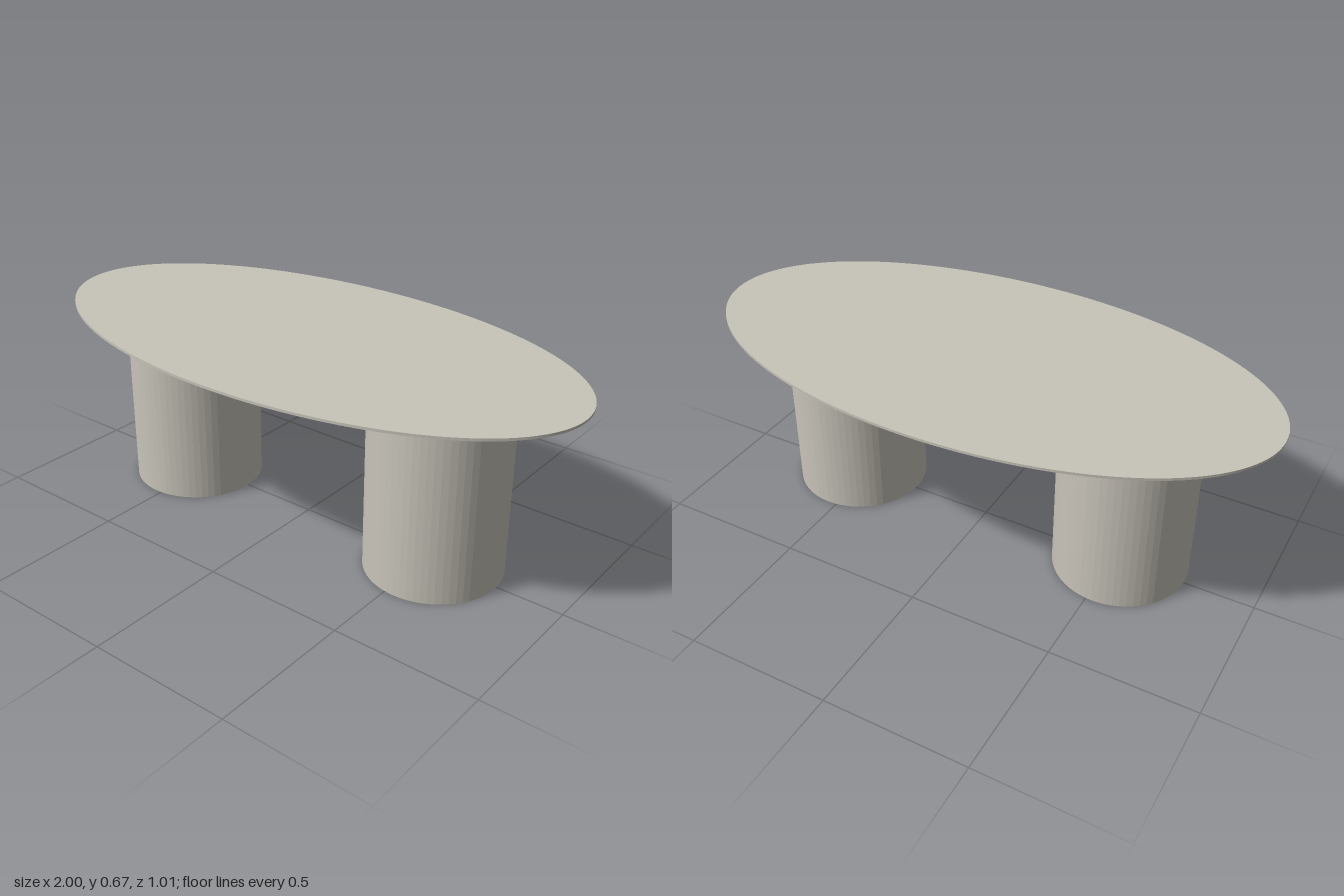
import * as THREE from 'three';
import { toCreasedNormals } from 'three/addons/utils/BufferGeometryUtils.js';

const HALF_LENGTH = 1, HALF_DEPTH = 0.506;
const TOP_Y = 0.67, RIM_Y = 0.661, UNDER_Y = 0.628, BEVEL = 0.08;

// Oval slab: a lathe whose rings are narrowed in z by a constant amount,
// so the bevel keeps the same width all the way round.
function ovalTop() {
  const profile = [
    [0, UNDER_Y], [HALF_LENGTH - BEVEL, UNDER_Y],
    [HALF_LENGTH, RIM_Y], [HALF_LENGTH, TOP_Y], [0, TOP_Y],
  ].map(([r, y]) => new THREE.Vector2(r, y));
  const geometry = new THREE.LatheGeometry(profile, 128);
  const p = geometry.attributes.position;
  for (let i = 0; i < p.count; i++) {
    const r = Math.hypot(p.getX(i), p.getZ(i));
    if (r > 0.01) p.setZ(i, p.getZ(i) / r * (r - HALF_LENGTH + HALF_DEPTH));
  }
  return toCreasedNormals(geometry, 0.3);
}

// Faceted round pedestal
function pedestal() {
  const geometry = new THREE.CylinderGeometry(0.234, 0.234, UNDER_Y, 64).toNonIndexed();
  geometry.computeVertexNormals();
  return geometry;
}

export function createModel() {
  const stone = new THREE.MeshStandardMaterial({ color: 0xc8c4ba });
  stone.name = 'warm grey stone';

  const table = new THREE.Group();
  table.name = 'ovalTable';

  const top = new THREE.Mesh(ovalTop(), stone);
  top.name = 'tableTop';
  table.add(top);

  // Two pedestals under the slab
  const legGeometry = pedestal();
  for (const [name, x] of [['leftPedestal', 0.532], ['rightPedestal', -0.522]]) {
    const leg = new THREE.Mesh(legGeometry, stone);
    leg.name = name;
    leg.position.set(x, UNDER_Y / 2, 0.008);
    table.add(leg);
  }
  return table;
}
